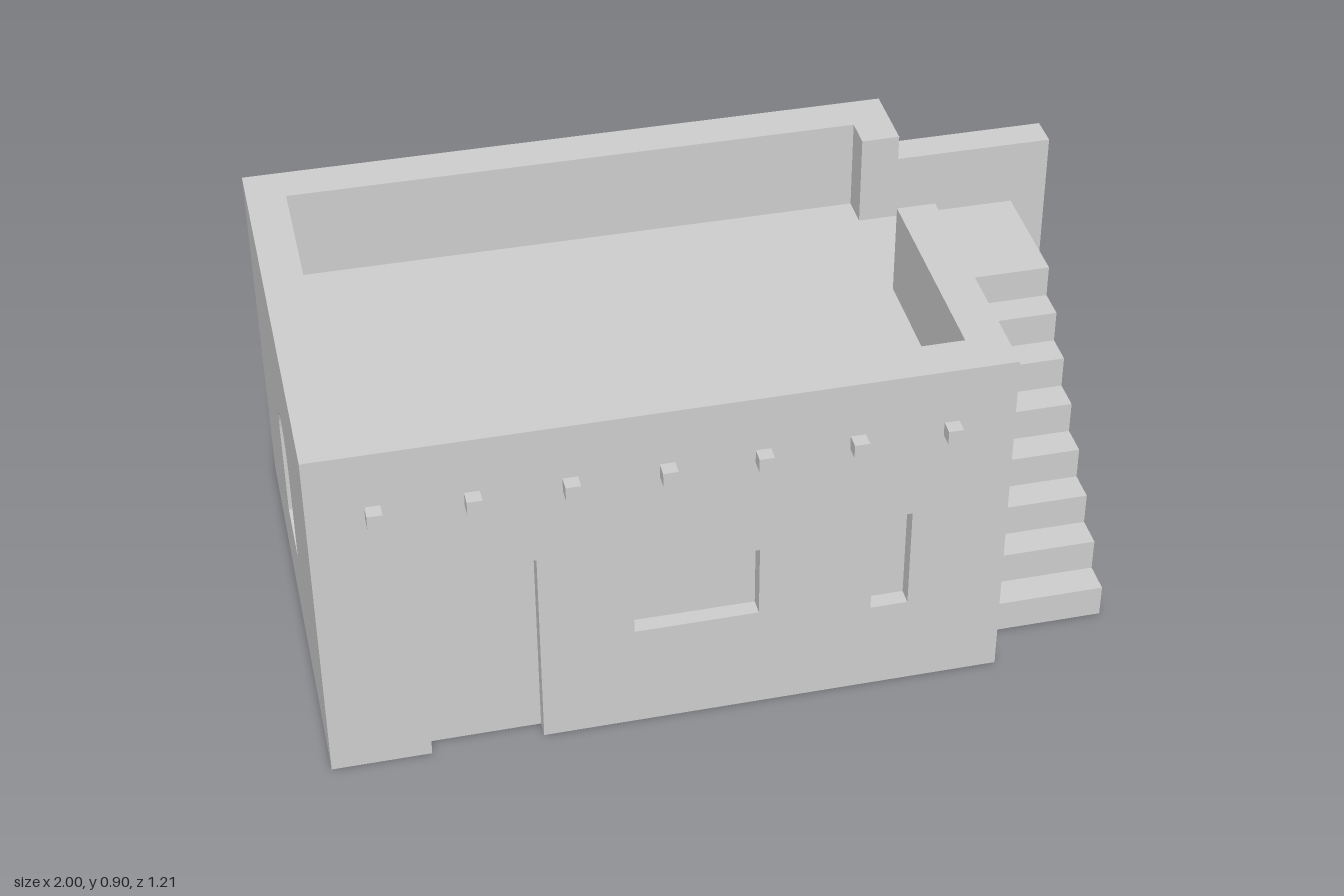
import * as THREE from 'three';

const material = new THREE.MeshStandardMaterial({ color: 0xcccccc, side: THREE.DoubleSide });

// Main dimensions
const LEFT = 0.605, RIGHT = -1, DEPTH = 0.57, TOP = 0.905, ROOF = 0.67;
const INNER_LEFT = 0.51, INNER_RIGHT = -0.905, INNER_DEPTH = 0.465;
const GAP_FRONT = -0.08, GAP_BACK = -0.385;
const RECESS = 0.04;

const toShape = (pts) => new THREE.Shape(pts.map(([x, y]) => new THREE.Vector2(x, y)));

// Flat sheet at local height z
const sheet = (pts, z = 0) => new THREE.ShapeGeometry(toShape(pts)).translate(0, 0, z);

// Strip that sweeps an outline from z0 to z1
function ribbon(pts, z0, z1, closed = false) {
  const pos = [];
  const count = closed ? pts.length : pts.length - 1;
  for (let i = 0; i < count; i++) {
    const [px, py] = pts[i], [qx, qy] = pts[(i + 1) % pts.length];
    pos.push(px, py, z0, qx, qy, z0, qx, qy, z1);
    pos.push(px, py, z0, qx, qy, z1, px, py, z1);
  }
  const g = new THREE.BufferGeometry();
  g.setAttribute('position', new THREE.Float32BufferAttribute(pos, 3));
  g.computeVertexNormals();
  return g;
}

const rect = (x0, x1, y0, y1) => [[x0, y0], [x1, y0], [x1, y1], [x0, y1]];

// Opening with a half-round head
function arch(cx, halfWidth, y0, spring, segments = 12) {
  const pts = [[cx - halfWidth, y0], [cx + halfWidth, y0]];
  for (let i = 0; i <= segments; i++) {
    const a = (i / segments) * Math.PI;
    pts.push([cx + halfWidth * Math.cos(a), spring + halfWidth * Math.sin(a)]);
  }
  return pts;
}

function add(parent, name, geometry) {
  const mesh = new THREE.Mesh(geometry, material);
  mesh.name = name;
  parent.add(mesh);
  return mesh;
}

// Wall sheet in its local XY plane, with shallow closed recesses
function wall(name, outline, windows) {
  const group = new THREE.Group();
  group.name = name;
  const shape = toShape(outline);
  for (const w of windows) shape.holes.push(toShape(w));
  add(group, 'wallFace', new THREE.ShapeGeometry(shape));
  for (const w of windows) {
    add(group, 'windowReveal', ribbon(w, 0, -RECESS, true));
    add(group, 'windowPanel', sheet(w, -RECESS));
  }
  return group;
}

export function createModel() {
  const model = new THREE.Group();
  model.name = 'adobeHouse';

  // Front wall, notched for the doorway
  const d0 = -0.765, d1 = -0.5, dTop = 0.54;
  const front = wall('frontWall',
    [[RIGHT, 0], [d0, 0], [d0, dTop], [d1, dTop], [d1, 0], [LEFT, 0], [LEFT, TOP], [RIGHT, TOP]],
    [rect(-0.28, 0.015, 0.28, 0.47), rect(0.285, 0.375, 0.24, 0.51)]);
  add(front, 'doorReveal', ribbon([[d1, 0], [d1, dTop], [d0, dTop], [d0, 0]], 0, -RECESS));
  add(front, 'doorPanel', sheet(rect(d0, d1, 0, dTop), -RECESS));
  front.position.z = DEPTH;

  // Back wall with three arched windows
  const back = wall('backWall', rect(-LEFT, -RIGHT, 0, TOP),
    [-0.226, 0.197, 0.618].map((x) => arch(x, 0.064, 0.28, 0.447)));
  back.rotation.y = Math.PI;
  back.position.z = -DEPTH;

  // Right wall with one larger arched window
  const right = wall('rightWall', rect(-DEPTH, DEPTH, 0, TOP), [arch(0.005, 0.092, 0.25, 0.505)]);
  right.rotation.y = -Math.PI / 2;
  right.position.x = RIGHT;

  // Left wall, cut down to the roof where the stair arrives
  const left = wall('leftWall', [[-DEPTH, 0], [DEPTH, 0], [DEPTH, TOP], [-GAP_BACK, TOP],
    [-GAP_BACK, ROOF], [-GAP_FRONT, ROOF], [-GAP_FRONT, TOP], [-DEPTH, TOP]], []);
  left.rotation.y = Math.PI / 2;
  left.position.x = LEFT;
  model.add(front, back, right, left);

  // Roof deck and parapet, drawn in plan
  const inner = [[LEFT, -GAP_BACK], [INNER_LEFT, -GAP_BACK], [INNER_LEFT, INNER_DEPTH],
    [INNER_RIGHT, INNER_DEPTH], [INNER_RIGHT, -INNER_DEPTH], [INNER_LEFT, -INNER_DEPTH],
    [INNER_LEFT, -GAP_FRONT], [LEFT, -GAP_FRONT]];
  const outer = [[LEFT, -DEPTH], [RIGHT, -DEPTH], [RIGHT, DEPTH], [LEFT, DEPTH]];
  const roof = new THREE.Group();
  roof.name = 'roof';
  roof.rotation.x = -Math.PI / 2;
  add(roof, 'roofDeck', sheet(outer, ROOF));
  add(roof, 'parapetInside', ribbon(inner, TOP, ROOF));
  add(roof, 'parapetTop', sheet([...inner, ...outer], TOP));

  // Screen wall behind the stair landing
  const screen = [[LEFT, 0.465], [1, 0.465], [1, 0.385], [LEFT, 0.385]];
  add(roof, 'screenWallSides', ribbon(screen, 0.84, 0));
  add(roof, 'screenWallTop', sheet(screen, 0.84));
  model.add(roof);

  // Outside stair: stepped profile swept across its width
  const steps = 8, start = 0.46, stairX = 0.91;
  const run = (start - GAP_FRONT) / (steps - 1), rise = ROOF / steps;
  const profile = [];
  for (let i = 0; i < steps; i++) {
    const u = -start + i * run;
    profile.push([u, i * rise], [u, (i + 1) * rise]);
  }
  profile.push([-GAP_BACK, ROOF]);
  const stair = new THREE.Group();
  stair.name = 'stair';
  stair.rotation.y = Math.PI / 2;
  add(stair, 'treadsAndRisers', ribbon(profile, stairX, LEFT));
  add(stair, 'stairSide', sheet([...profile, [-GAP_BACK, 0]], stairX));
  model.add(stair);

  // Roof beam ends along front and back
  const beam = new THREE.BoxGeometry(0.035, 0.035, 0.035);
  for (let i = 0; i < 7; i++) {
    for (const side of [1, -1]) {
      add(model, 'beamEnd', beam).position.set(-0.853 + i * 0.218, 0.745, side * (DEPTH + 0.0175));
    }
  }
  return model;
}
